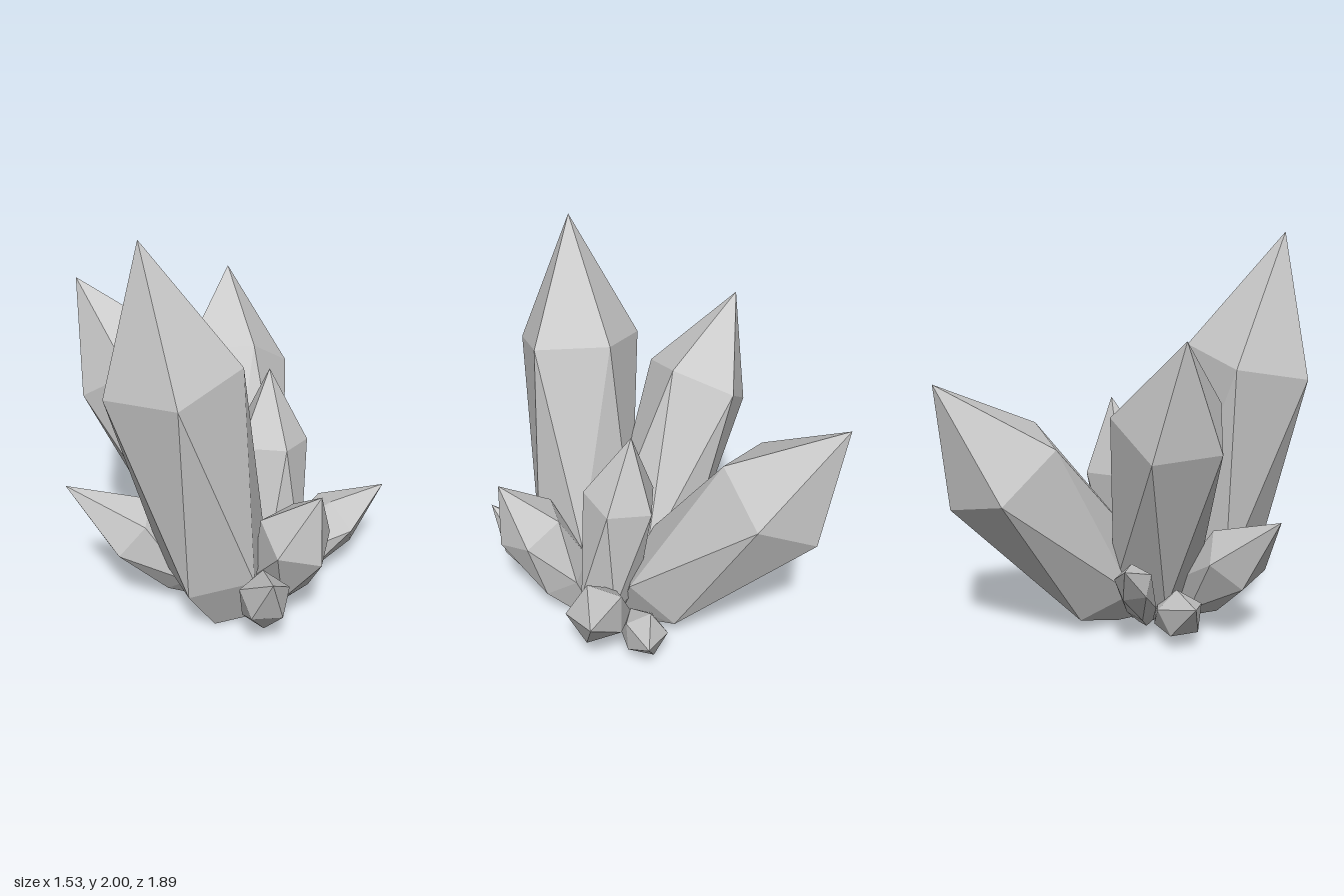
import * as THREE from 'three';

const SIDES = 5;
const HALF_STEP = 180 / SIDES;
const ROOT_HEIGHT = 0.03;

// Five-sided ring round a centre, square to the crystal's axis.
function ring(centre, radius, turn, phase) {
  return Array.from({ length: SIDES }, (_, i) => {
    const a = THREE.MathUtils.degToRad(phase) + (i / SIDES) * Math.PI * 2;
    const p = new THREE.Vector3(Math.cos(a), 0, -Math.sin(a))
      .multiplyScalar(radius).applyQuaternion(turn).add(centre);
    p.y = Math.max(p.y, 0);
    return p;
  });
}

// Crystal: narrow root, lower ring at part "flare" of the body, wide shoulder, pointed tip.
// The lower rings are turned half a step, so the body is faceted in long triangles.
function crystal(name, tip, shoulder, radius, [rootX, rootZ], phase, flare, material) {
  const apex = new THREE.Vector3(...tip);
  const top = new THREE.Vector3(...shoulder);
  const root = new THREE.Vector3(rootX, ROOT_HEIGHT, rootZ);
  const turn = new THREE.Quaternion().setFromUnitVectors(
    new THREE.Vector3(0, 1, 0), apex.clone().sub(top).normalize());

  const rings = [
    ring(root, radius * 0.4, turn, phase + HALF_STEP),
    ring(root.clone().lerp(top, flare), radius * 0.83, turn, phase + HALF_STEP),
    ring(top, radius, turn, phase),
  ];

  const corners = [];
  for (let i = 0; i < SIDES; i++) {
    const j = (i + 1) % SIDES;
    corners.push(root, rings[0][j], rings[0][i]);
    for (let k = 0; k < 2; k++) {
      const [a, b] = [rings[k], rings[k + 1]];
      corners.push(a[i], a[j], b[j], a[i], b[j], b[i]);
    }
    corners.push(rings[2][i], rings[2][j], apex);
  }
  const geometry = new THREE.BufferGeometry().setFromPoints(corners);
  geometry.computeVertexNormals();
  const mesh = new THREE.Mesh(geometry, material);
  mesh.name = name;
  return mesh;
}

// Each row: name, tip, shoulder centre, shoulder radius, root x and z, ring phase in degrees.
const LARGE = [
  ['tallFrontCrystal', [-0.25, 2, 0.74], [-0.155, 1.38, 0.625], 0.325, [0.05, 0.43], 0],
  ['backCrystal', [-0.22, 1.35, -0.96], [-0.145, 0.91, -0.635], 0.315, [0.06, 0.06], 18],
  ['rightLeaningCrystal', [-0.77, 1.58, 0.05], [-0.5, 1.16, 0.085], 0.285, [0.03, 0.15], 0],
  ['uprightCrystal', [0.18, 1.155, 0], [0.19, 0.79, 0.06], 0.195, [0.24, 0.16], 18],
];
const SMALL = [
  ['leftFrontCrystal', [0.52, 0.81, 0.6], [0.4, 0.535, 0.51], 0.185, [0.24, 0.3], 36],
  ['rightMiddleCrystal', [-0.71, 0.705, 0.55], [-0.43, 0.445, 0.45], 0.17, [-0.02, 0.3], 38],
  ['leftLowCrystal', [0.76, 0.445, -0.21], [0.535, 0.315, -0.05], 0.155, [0.2, 0.13], 18],
  ['smallFrontCrystal', [0.345, 0.49, 0.86], [0.285, 0.31, 0.7], 0.125, [0.22, 0.46], 36],
  ['smallBackCrystal', [0.53, 0.25, -0.38], [0.37, 0.16, -0.23], 0.115, [0.19, 0], 63],
  ['smallRightCrystal', [-0.625, 0.285, 0.17], [-0.4, 0.17, 0.18], 0.12, [-0.08, 0.21], 0],
  ['smallRightBackCrystal', [-0.59, 0.5, -0.17], [-0.44, 0.38, -0.08], 0.095, [-0.1, 0.1], 54],
];

export function createModel() {
  const group = new THREE.Group();
  group.name = 'crystalCluster';
  const material = new THREE.MeshStandardMaterial({ color: 0xcccccc, flatShading: true });
  for (const row of LARGE) group.add(crystal(...row, 0.22, material));
  for (const row of SMALL) group.add(crystal(...row, 0.4, material));
  return group;
}
